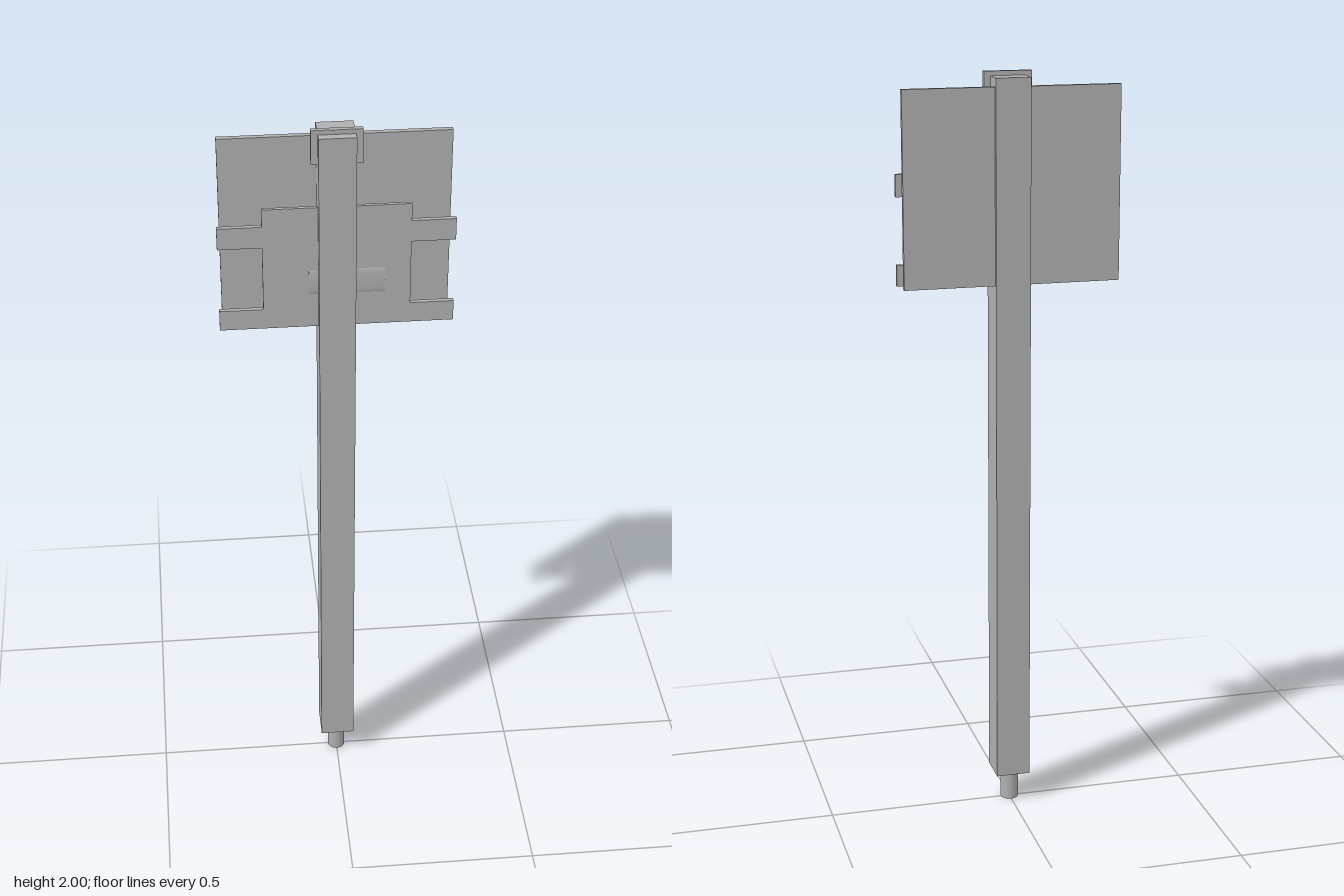
import * as THREE from 'three';

export function createModel() {
  const group = new THREE.Group();
  const grey = new THREE.MeshStandardMaterial({ color: 0xb0b0b0 });
  grey.name = 'plain grey';

  const add = (name, geometry) => {
    const mesh = new THREE.Mesh(geometry, grey);
    mesh.name = name;
    group.add(mesh);
    return mesh;
  };
  // Box given by its lower and upper limits on each axis
  const box = (name, x0, x1, y0, y1, z0, z1) =>
    add(name, new THREE.BoxGeometry(x1 - x0, y1 - y0, z1 - z0))
      .position.set((x0 + x1) / 2, (y0 + y1) / 2, (z0 + z1) / 2);

  // Square post standing on a round pin
  box('post', -0.046, 0.046, 0.083, 1.988, -0.046, 0.046);
  add('basePin', new THREE.CylinderGeometry(0.024, 0.024, 0.09, 24)).position.y = 0.045;

  // Large board at the rear
  box('backBoard', -0.286, 0.285, 1.458, 1.965, -0.036, -0.022);

  // Small cap plate at the top
  box('topPlate', -0.063, 0.063, 1.91, 2, 0.012, 0.024);

  // Front bracket: central plate with two tabs on each side
  box('bracketPlate', -0.184, 0.184, 1.46, 1.795, 0.015, 0.024);
  for (const side of [-1, 1]) {
    for (const [y0, y1] of [[1.46, 1.515], [1.69, 1.748]]) {
      const [x0, x1] = side > 0 ? [0.183, 0.294] : [-0.294, -0.183];
      box(side > 0 ? 'leftTab' : 'rightTab', x0, x1, y0, y1, 0.012, 0.024);
    }
  }

  // Shallow raised rib on the bracket face
  const rib = add('bracketRib', new THREE.CylinderGeometry(1, 1, 0.19, 24).rotateZ(Math.PI / 2));
  rib.scale.set(1, 0.035, 0.004);
  rib.position.set(0.025, 1.587, 0.023);

  return group;
}
